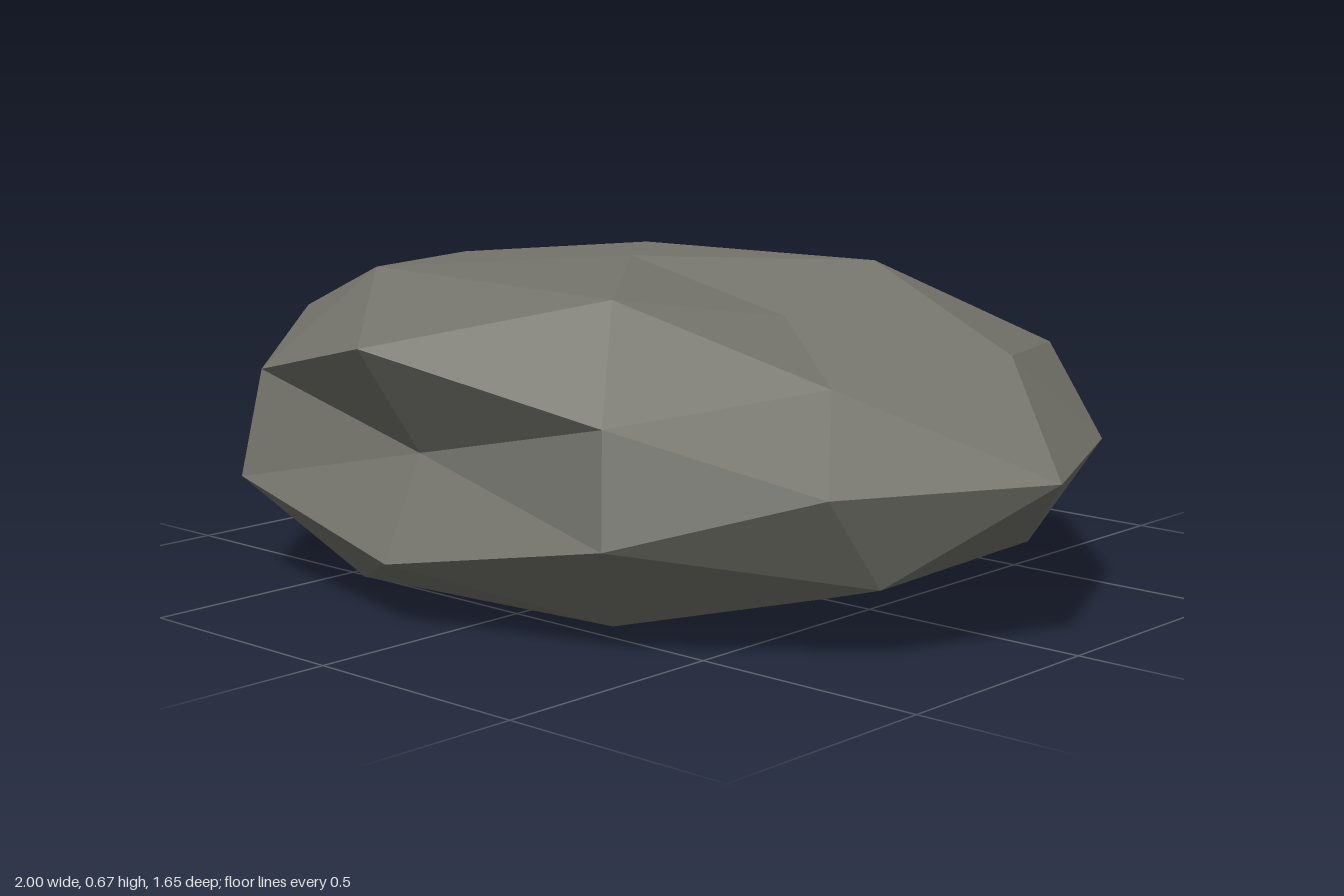
import * as THREE from 'three';

// Radius of the boulder in each facet-corner direction. Keys give the signs of
// x, y, z; the last letter, where present, names the dominant axis.
const RADII = {
  // poles
  '+00': 1.09, '-00': 0.91, '0+0': 0.92, '0-0': 0.89, '00+': 0.8, '00-': 1.19,
  // corners lying in the three main planes
  '++0': 0.8, '-+0': 0.97, '+-0': 1.025, '--0': 0.92,
  '0++': 1.18, '0+-': 1.08, '0-+': 1.09, '0--': 0.91,
  '+0+': 1.015, '-0+': 0.89, '+0-': 1.06, '-0-': 1.035,
  // crown and base
  '+++y': 1.07, '-++y': 1.09, '++-y': 1.07, '-+-y': 1.03,
  '+-+y': 1.11, '--+y': 1.17, '+--y': 0.89, '---y': 0.88,
  // front and back
  '+++z': 0.98, '-++z': 0.98, '+-+z': 1.02, '--+z': 1.04,
  '++-z': 1.155, '-+-z': 1.075, '+--z': 1.05, '---z': 1.045,
  // sides
  '+++x': 0.875, '++-x': 1.0, '+-+x': 1.07, '+--x': 1.05,
  '-++x': 0.97, '-+-x': 1.0, '--+x': 1.027, '---x': 0.9,
};

const sign = (v) => (Math.abs(v) < 0.01 ? '0' : v > 0 ? '+' : '-');

function cornerKey(d) {
  const signs = sign(d.x) + sign(d.y) + sign(d.z);
  if (signs.includes('0')) return signs;
  return signs + ['x', 'y', 'z'].find((axis) => Math.abs(d[axis]) > 0.7);
}

export function createModel() {
  const stone = new THREE.MeshStandardMaterial({ color: 0x75756d });
  stone.name = 'stone grey';

  // Flattened faceted ball, pushed in or out along each direction
  const geometry = new THREE.IcosahedronGeometry(1, 1);
  const position = geometry.attributes.position;
  const d = new THREE.Vector3();
  const squash = new THREE.Vector3(1, 0.36, 0.75);
  const centre = new THREE.Vector3(-0.09, 0.34, 0.07);
  for (let i = 0; i < position.count; i++) {
    d.fromBufferAttribute(position, i).normalize();
    d.multiplyScalar(RADII[cornerKey(d)]).multiply(squash).add(centre);
    position.setXYZ(i, d.x, d.y, d.z);
  }
  // unshared corners give one flat normal per facet
  geometry.computeVertexNormals();

  const boulder = new THREE.Mesh(geometry, stone);
  boulder.name = 'boulder';

  const group = new THREE.Group();
  group.name = 'rock';
  group.add(boulder);
  return group;
}
